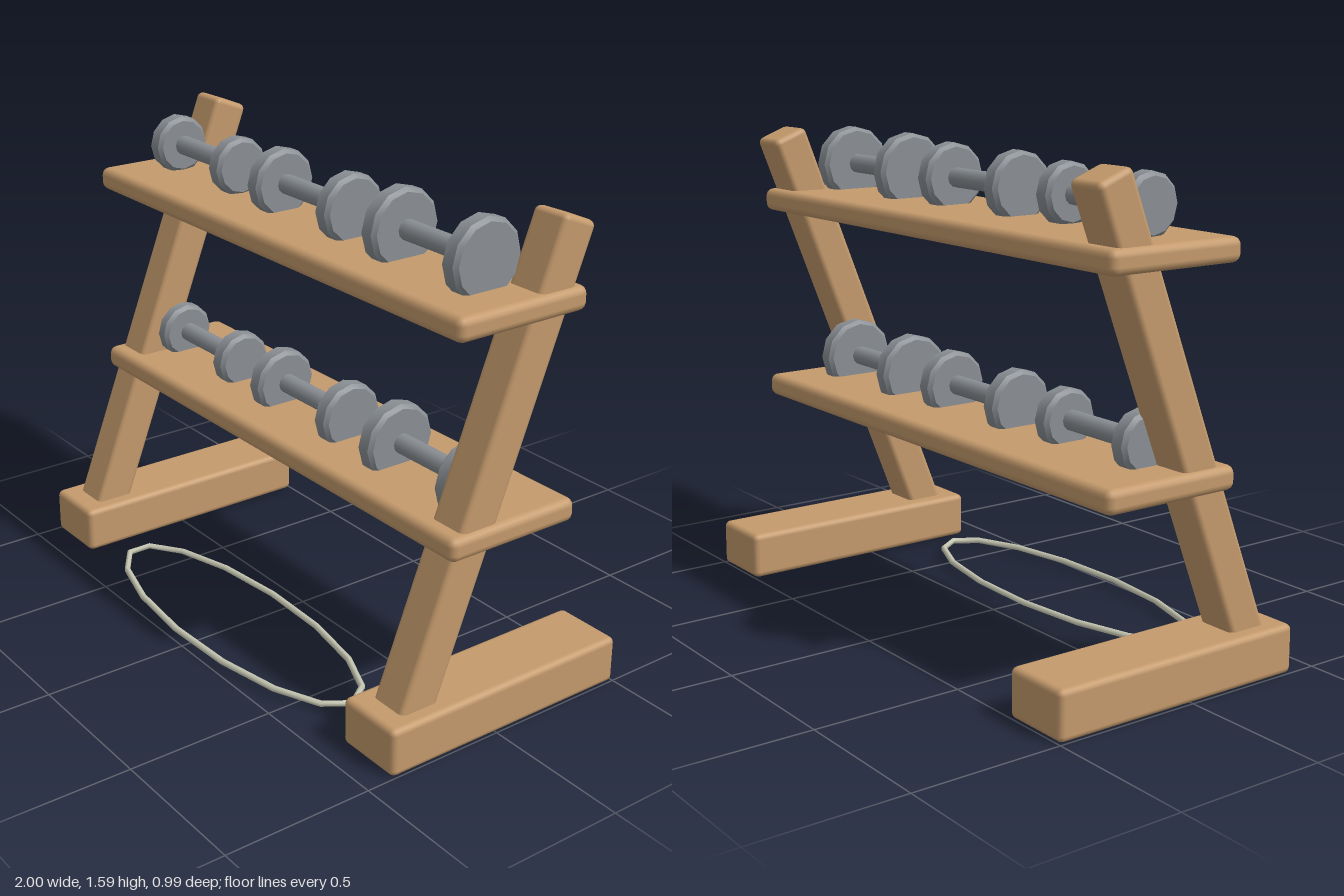
import * as THREE from 'three';
import { toCreasedNormals } from 'three/addons/utils/BufferGeometryUtils.js';
import { RoundedBoxGeometry } from 'three/addons/geometries/RoundedBoxGeometry.js';

const material = (name, color) => {
  const m = new THREE.MeshStandardMaterial({ color });
  m.name = name;
  return m;
};

// Flat ellipse on the floor, sampled at equal angles
class FloorEllipse extends THREE.Curve {
  getPoint(t, target = new THREE.Vector3()) {
    const a = t * Math.PI * 2;
    return target.set(0.642 * Math.cos(a), 0, 0.2 * Math.sin(a));
  }
  getPointAt(t, target) { return this.getPoint(t, target); }
  getTangentAt(t, target = new THREE.Vector3()) {
    const a = t * Math.PI * 2;
    return target.set(-0.642 * Math.sin(a), 0, 0.2 * Math.cos(a)).normalize();
  }
}

export function createModel() {
  const model = new THREE.Group();
  model.name = 'dumbbellRack';
  const wood = material('wood', 0xc49a6c);
  const steel = material('steel', 0x8a8f94);
  const cord = material('cord', 0xc8c8b4);

  const add = (parent, name, geometry, mat, x, y, z) => {
    const mesh = new THREE.Mesh(geometry, mat);
    mesh.name = name;
    mesh.position.set(x, y, z);
    parent.add(mesh);
    return mesh;
  };
  const block = (w, h, d, r) => new RoundedBoxGeometry(w, h, d, 2, r);

  // Feet and leaning posts
  const postBottom = new THREE.Vector2(0.318, 0.03); // z, y
  const postTop = new THREE.Vector2(-0.285, 1.577);
  const span = postTop.clone().sub(postBottom);
  for (const [side, s] of [['left', 1], ['right', -1]]) {
    add(model, side + 'Foot', block(0.24, 0.16, 0.91, 0.02), wood, s * 0.88, 0.083, -0.045);
    const post = add(model, side + 'Post', block(0.14, span.length(), 0.13, 0.02), wood,
      s * 0.88, (postBottom.y + postTop.y) / 2, (postBottom.x + postTop.x) / 2);
    post.rotation.x = Math.atan2(span.x, span.y);
  }

  // Bevelled twelve-sided weight, axis along x
  const weightGeometry = (r) => {
    const h = 0.035, b = 0.013;
    const profile = [[0, -h], [r - b, -h], [r, b - h], [r, h - b], [r - b, h], [0, h]]
      .map(([x, y]) => new THREE.Vector2(x, y));
    return toCreasedNormals(new THREE.LatheGeometry(profile, 12).rotateZ(Math.PI / 2), 0.6);
  };
  const weights = [0.099, 0.114, 0.129].map(weightGeometry);
  const handle = new THREE.CylinderGeometry(0.033, 0.033, 0.34, 12).rotateZ(Math.PI / 2);

  // Shelves, each with three dumbbells of growing size
  for (const [level, shelfY, bellY] of [['lower', 0.66, 0.768], ['upper', 1.338, 1.466]]) {
    add(model, level + 'Shelf', block(1.94, 0.078, 0.49, 0.026), wood, 0, shelfY, -0.065);
    weights.forEach((weight, i) => {
      const bell = new THREE.Group();
      bell.name = level + 'Dumbbell' + (i + 1);
      bell.position.set((i - 1) * 0.614, bellY, -0.043);
      add(bell, 'handle', handle, steel, 0, 0, 0);
      add(bell, 'leftWeight', weight, steel, 0.183, 0, 0);
      add(bell, 'rightWeight', weight, steel, -0.183, 0, 0);
      model.add(bell);
    });
  }

  // Thin cord loop lying between the feet
  const loop = new THREE.TubeGeometry(new FloorEllipse(), 15, 0.011, 6, true);
  add(model, 'floorLoop', loop, cord, 0, 0.03, 0.28);

  return model;
}
